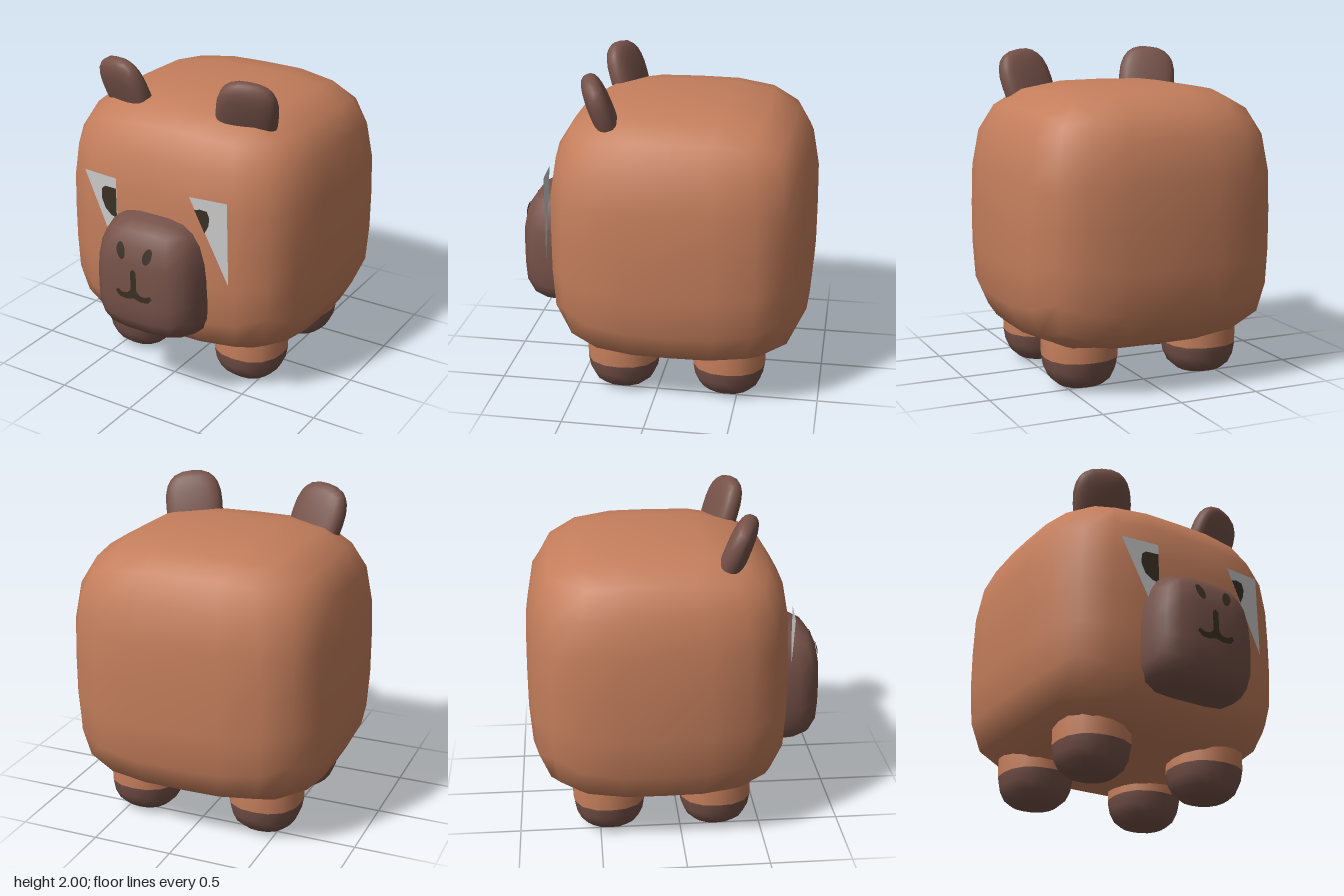
import * as THREE from 'three';
import { mergeVertices } from 'three/addons/utils/BufferGeometryUtils.js';

const paint = (name, color, side = THREE.FrontSide) => {
  const m = new THREE.MeshStandardMaterial({ color, side });
  m.name = name;
  return m;
};

// Box puffed into a superellipsoid: n rounds the plan, top and bottom round the height
function softBox({ size, n, top, bottom, taper = 0, segments = 6 }) {
  let geo = new THREE.BoxGeometry(2, 2, 2, segments, segments, segments);
  geo.deleteAttribute('uv');
  geo.deleteAttribute('normal');
  geo = mergeVertices(geo, 1e-4);
  const p = geo.attributes.position;
  for (let i = 0; i < p.count; i++) {
    const x = p.getX(i), y = p.getY(i), z = p.getZ(i);
    const m = y < 0 ? bottom : top;
    const plan = Math.abs(x) ** n + Math.abs(z) ** n;
    const k = 1 / (plan ** (m / n) + Math.abs(y) ** m) ** (1 / m);
    const narrow = 1 - taper * Math.max(0, y * k);
    p.setXYZ(i, x * k * size[0] * narrow, y * k * size[1], z * k * size[2]);
  }
  geo.computeVertexNormals();
  return geo;
}

const SNOUT = { size: [0.36, 0.38, 0.42], n: 4, top: 3.5, bottom: 5, taper: 0.1 };
const SNOUT_Y = 0.81, SNOUT_Z = 0.5;

// Height of the snout's front surface at x, y
function snoutFront(x, y) {
  const { size, n, top, bottom } = SNOUT;
  const v = (y - SNOUT_Y) / size[1], m = v < 0 ? bottom : top;
  const rest = (1 - Math.abs(v) ** m) ** (n / m) - Math.abs(x / size[0]) ** n;
  return SNOUT_Z + size[2] * Math.max(0, rest) ** (1 / n);
}

// Flat outline laid onto a surface given by z = depth(x, y)
function decal(shape, depth) {
  const geo = new THREE.ShapeGeometry(shape, 8);
  const p = geo.attributes.position;
  for (let i = 0; i < p.count; i++) p.setZ(i, depth(p.getX(i), p.getY(i)));
  geo.computeVertexNormals();
  return geo;
}

const polygon = (pts) => new THREE.Shape(pts.map(([x, y]) => new THREE.Vector2(x, y)));

// Lathe with a slightly squared plan
function legPart(profile) {
  const geo = new THREE.LatheGeometry(profile.map(([r, y]) => new THREE.Vector2(r, y)), 16);
  const p = geo.attributes.position;
  for (let i = 0; i < p.count; i++) {
    const x = p.getX(i), z = p.getZ(i), r = Math.hypot(x, z);
    if (r < 1e-5) continue;
    const k = r / (Math.abs(x) ** 2.4 + Math.abs(z) ** 2.4) ** (1 / 2.4);
    p.setX(i, x * k);
    p.setZ(i, z * k);
  }
  return geo;
}

export function createModel() {
  const fur = paint('fur', 0xc47e5c);
  const legFur = paint('legFur', 0xc47e5c, THREE.DoubleSide);
  const dark = paint('darkFur', 0x765249);
  const hoof = paint('hoof', 0x765249, THREE.DoubleSide);
  const white = paint('eyeWhite', 0xcacaca, THREE.DoubleSide);
  const black = paint('faceMarks', 0x3a3024, THREE.DoubleSide);

  const model = new THREE.Group();
  model.name = 'animal';
  const add = (name, geo, mat, x = 0, y = 0, z = 0) => {
    const mesh = new THREE.Mesh(geo, mat);
    mesh.name = name;
    mesh.position.set(x, y, z);
    model.add(mesh);
    return mesh;
  };

  // Body and snout
  const bodyGeo = softBox({ size: [0.845, 0.785, 0.81], n: 3.5, top: 3.6, bottom: 5, taper: 0.02 });
  add('body', bodyGeo, fur, 0, 1.025, -0.115);
  add('snout', softBox(SNOUT), dark, 0, SNOUT_Y, SNOUT_Z);

  // Ears lean forward and turn outward
  const earGeo = softBox({ size: [0.185, 0.22, 0.075], n: 2.8, top: 2.6, bottom: 3 });
  for (const [side, s] of [['left', 1], ['right', -1]]) {
    const ear = add(side + 'Ear', earGeo, dark, s * 0.425, 1.785, 0.345);
    ear.rotation.set(0.36, s * 0.28, -s * 0.12, 'YXZ');
  }

  // Legs with dark hooves
  const shank = legPart([[0.225, 0.195], [0.226, 0.28], [0.22, 0.42]]);
  const foot = legPart([[0, 0], [0.08, 0.007], [0.14, 0.025], [0.185, 0.065], [0.213, 0.125], [0.225, 0.195]]);
  for (const [side, s] of [['left', 1], ['right', -1]]) {
    for (const [end, z] of [['Front', 0.225], ['Back', -0.44]]) {
      add(side + end + 'Leg', shank, legFur, s * 0.405, 0, z);
      add(side + end + 'Hoof', foot, hoof, s * 0.405, 0, z);
    }
  }

  // Eyes: both triangles point the same way, each plate slopes back outward
  const plate = (lift) => (x) => 0.715 - 0.1 * (Math.abs(x) - 0.255) + lift;
  const eyes = {
    left: {
      white: [[0.26, 1.36], [0.51, 0.84], [0.5, 1.36]],
      pupil: [[0.295, 1.285], [0.36, 1.15], [0.385, 1.2], [0.391, 1.25], [0.375, 1.29], [0.33, 1.295]],
    },
    right: {
      white: [[-0.5, 1.36], [-0.25, 0.84], [-0.255, 1.36]],
      pupil: [[-0.255, 1.295], [-0.34, 1.293], [-0.367, 1.27], [-0.37, 1.21], [-0.345, 1.15], [-0.3, 1.115], [-0.255, 1.1]],
    },
  };
  for (const [side, eye] of Object.entries(eyes)) {
    add(side + 'EyeWhite', decal(polygon(eye.white), plate(0)), white);
    add(side + 'Pupil', decal(polygon(eye.pupil), plate(0.003)), black);
  }

  // Nostrils and mouth follow the snout surface
  const onSnout = (x, y) => snoutFront(x, y) + 0.004;
  for (const [side, s] of [['left', 1], ['right', -1]]) {
    const nostril = new THREE.Shape();
    nostril.absellipse(s * 0.093, 1.01, 0.029, 0.052, 0, Math.PI * 2, false, -s * 0.3);
    add(side + 'Nostril', decal(nostril, onSnout), black);
  }
  const philtrum = polygon([[-0.024, 0.755], [0.024, 0.755], [0.02, 0.8], [0.02, 0.895], [0, 0.912], [-0.02, 0.895], [-0.02, 0.8]]);
  add('philtrum', decal(philtrum, onSnout), black);
  const smile = polygon([
    [-0.128, 0.745], [-0.1, 0.715], [-0.05, 0.71], [0, 0.724], [0.05, 0.71], [0.1, 0.715], [0.128, 0.745],
    [0.115, 0.765], [0.08, 0.748], [0.045, 0.752], [0.02, 0.775], [-0.02, 0.775], [-0.045, 0.752], [-0.08, 0.748], [-0.115, 0.765],
  ]);
  add('mouth', decal(smile, onSnout), black);

  return model;
}
